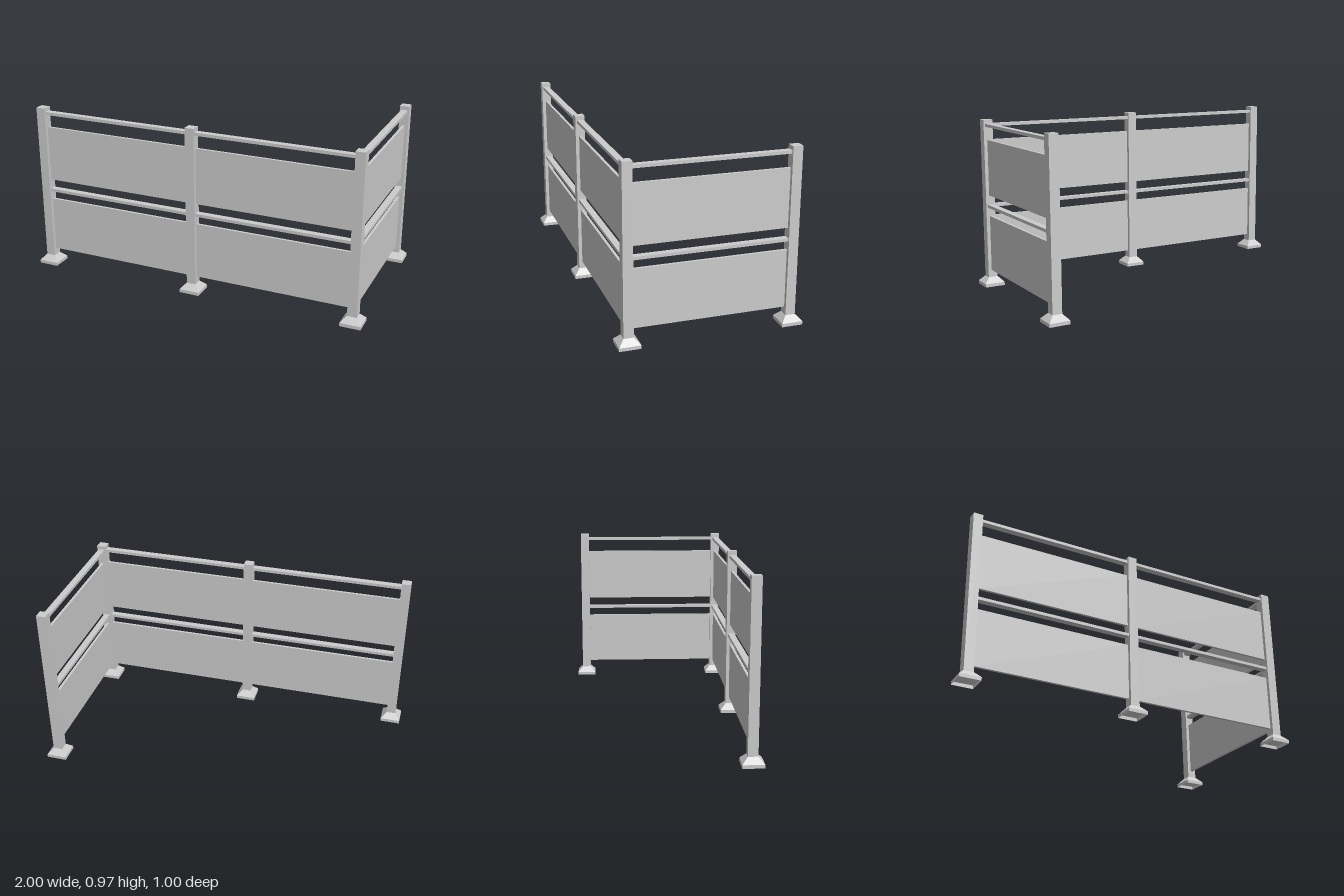
import * as THREE from 'three';

export function createModel() {
  const model = new THREE.Group();
  model.name = 'cornerRailing';
  const metal = new THREE.MeshStandardMaterial({ color: 0xcccccc, side: THREE.DoubleSide, flatShading: true });
  metal.name = 'grey metal';

  const E = 0.942, Z = 0.442; // post centre lines
  const POST = 0.054, TOP = 0.97, FOOT = 0.052;

  function add(parent, name, geometry, x, y, z) {
    const mesh = new THREE.Mesh(geometry, metal);
    mesh.name = name;
    mesh.position.set(x, y, z);
    parent.add(mesh);
  }

  // Hollow square sleeve: half widths at bottom and top
  function sleeve(bottom, top, height) {
    const g = new THREE.CylinderGeometry(top * Math.SQRT2, bottom * Math.SQRT2, height, 4, 1, true);
    return g.rotateY(Math.PI / 4);
  }

  // Posts on flared, open-bottomed feet
  for (const [x, z] of [[-E, Z], [0, Z], [E, Z], [E, -Z]]) {
    const post = new THREE.Group();
    post.name = 'post';
    post.position.set(x, 0, z);
    add(post, 'upright', new THREE.BoxGeometry(POST, TOP - FOOT, POST), 0, (TOP + FOOT) / 2, 0);
    add(post, 'footRim', sleeve(0.058, 0.058, 0.019), 0, 0.0095, 0);
    add(post, 'footSlope', sleeve(0.058, POST / 2, FOOT - 0.019), 0, (FOOT + 0.019) / 2, 0);
    model.add(post);
  }

  // One bay between two posts: two rails and two infill panels
  function bay(name, x, z, span, turn) {
    const group = new THREE.Group();
    group.name = name;
    group.position.set(x, 0, z);
    group.rotation.y = turn;
    const length = span - POST;
    for (const y of [0.472, 0.939])
      add(group, 'rail', new THREE.BoxGeometry(length, 0.017, 0.037), 0, y, 0);
    for (const y of [0.2535, 0.6945])
      add(group, 'panel', new THREE.BoxGeometry(length, 0.321, 0.015), 0, y, 0);
    model.add(group);
  }
  bay('frontBayRight', -E / 2, Z, E, 0);
  bay('frontBayLeft', E / 2, Z, E, 0);
  bay('sideBay', E, 0, 2 * Z, Math.PI / 2);

  return model;
}
